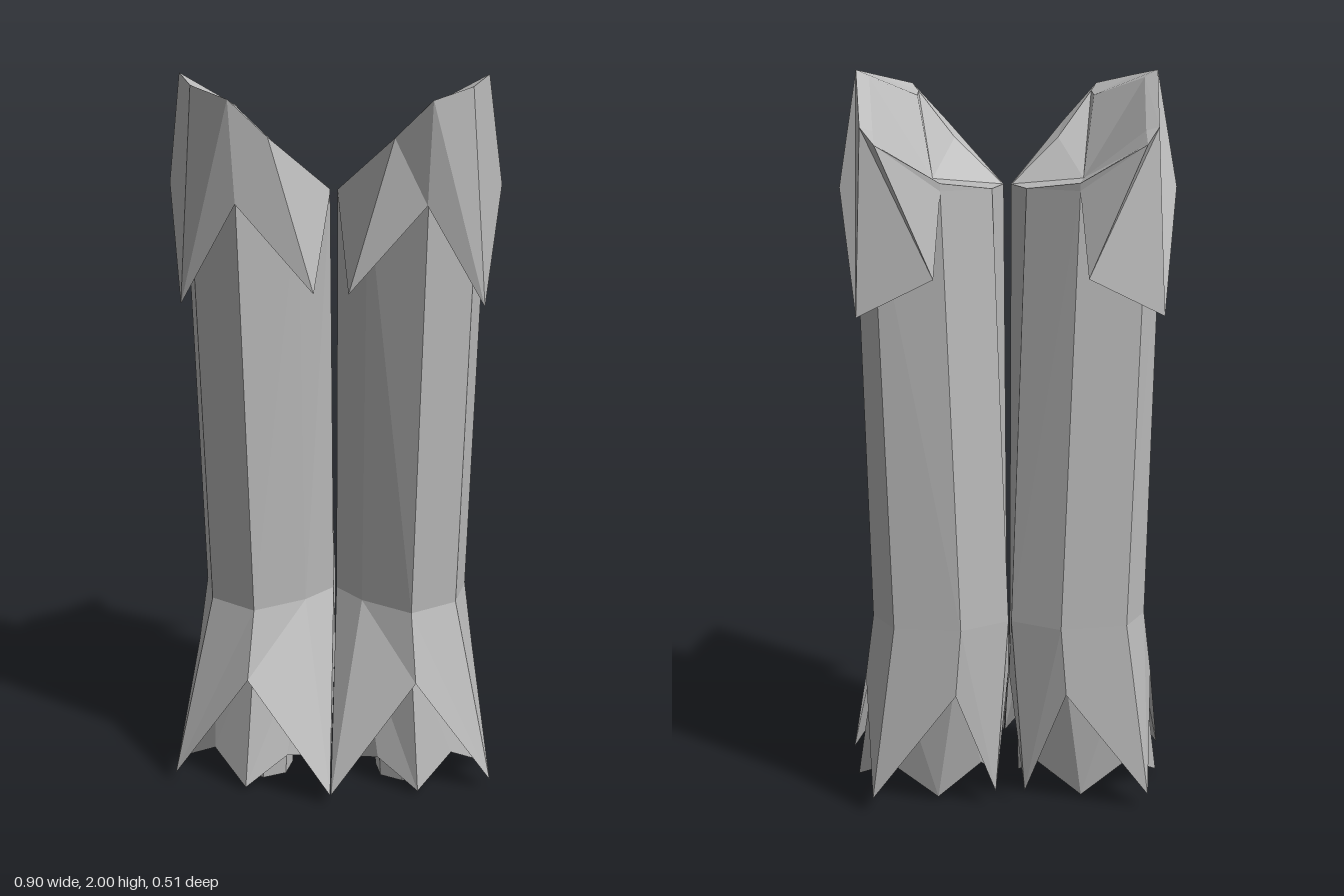
import * as THREE from 'three';

const stone = new THREE.MeshStandardMaterial({ color: 0xbababa, flatShading: true, side: THREE.DoubleSide });
stone.name = 'light grey';

// Closed band of quads between two rings of [x, y, z] points; sign -1 mirrors it in x.
function band(name, upper, lower, sign) {
  const pos = [];
  const tri = (...p) => {
    if (sign < 0) p.reverse();
    p.forEach(([x, y, z]) => pos.push(x * sign, y, z));
  };
  upper.forEach((a, i) => {
    const j = (i + 1) % upper.length;
    tri(a, lower[i], lower[j]);
    tri(a, lower[j], upper[j]);
  });
  const geo = new THREE.BufferGeometry();
  geo.setAttribute('position', new THREE.Float32BufferAttribute(pos, 3));
  geo.computeVertexNormals();
  const mesh = new THREE.Mesh(geo, stone);
  mesh.name = name;
  return mesh;
}

// All rings run front, outer front, outer, outer back, back, inner back, inner, inner front.
const ring = (y, xz) => xz.map(([x, z]) => [x, y, z]);
const shaftTop = ring(1.7, [[0.248, 0.153], [0.375, 0.066], [0.405, -0.075], [0.355, -0.182],
  [0.18, -0.2], [0.045, -0.12], [0.01, 0.02], [0.09, 0.075]]);
const shaftLow = ring(0.53, [[0.22, 0.115], [0.345, 0.03], [0.375, -0.11], [0.315, -0.225],
  [0.135, -0.252], [0.004, -0.175], [0.004, -0.06], [0.08, 0.03]]);

// Flared lower cuff: notches and long points alternate.
const cuffHem = [[0.235, 0.345, 0.18], [0.45, 0.03, 0.145], [0.4, 0.345, -0.08], [0.38, 0.04, -0.235],
  [0.15, 0.345, -0.257], [0.04, 0.04, -0.2], [0.001, 0.345, -0.08], [0.001, 0.03, 0.255]];

// Shorter inner fringe, its points showing through the cuff notches.
const fringeTop = ring(0.42, [[0.22, 0.12], [0.34, 0.03], [0.37, -0.1], [0.315, -0.205],
  [0.145, -0.235], [0.03, -0.16], [0.02, -0.06], [0.08, 0.03]]);
const fringeHem = [[0.245, 0.01, 0.185], [0.34, 0.09, 0.1], [0.43, 0.01, 0.0], [0.33, 0.1, -0.14],
  [0.2, 0.01, -0.165], [0.08, 0.1, -0.14], [0.03, 0.015, 0.0], [0.13, 0.08, 0.12]];
const fringeInside = fringeHem.map(([x, , z]) => [0.2 + (x - 0.2) * 0.45, 0.14, 0.01 + z * 0.45]);

// Collar: slanted rim, ragged hem, broad lip and shallow bowl.
const rim = [[0.01, 1.7, 0.02], [0.16, 1.86, 0.185], [0.255, 1.96, 0.235], [0.355, 1.985, 0.16],
  [0.4, 2.0, 0.02], [0.385, 1.86, -0.165], [0.345, 1.82, -0.255], [0.18, 1.72, -0.2], [0.045, 1.7, -0.12]];
const collarHem = [[0.01, 1.69, 0.02], [0.045, 1.46, 0.2], [0.245, 1.69, 0.19], [0.4, 1.41, 0.115],
  [0.445, 1.7, -0.07], [0.4, 1.38, -0.235], [0.2, 1.48, -0.255], [0.18, 1.7, -0.2], [0.045, 1.69, -0.12]];
const collarInside = [[0.01, 1.7, 0.02], [0.088, 1.55, 0.07], [0.248, 1.72, 0.15], [0.37, 1.56, 0.06],
  [0.405, 1.72, -0.075], [0.352, 1.55, -0.185], [0.2, 1.62, -0.2], [0.18, 1.7, -0.2], [0.045, 1.7, -0.12]];
const lip = [[0.012, 1.7, 0.02], [0.14, 1.82, 0.085], [0.238, 1.94, 0.2], [0.24, 1.93, 0.13],
  [0.365, 1.98, 0.02], [0.352, 1.85, -0.15], [0.328, 1.81, -0.225], [0.18, 1.72, -0.197], [0.047, 1.7, -0.118]];
const bowlCentre = lip.map(() => [0.2, 1.72, -0.04]);

function makeLeg(sign) {
  const leg = new THREE.Group();
  leg.name = sign > 0 ? 'leftColumn' : 'rightColumn';
  leg.add(
    band('shaft', shaftTop, shaftLow, sign),
    band('lowerCuff', shaftLow, cuffHem, sign),
    band('fringe', fringeTop, fringeHem, sign),
    band('fringeUnderside', fringeHem, fringeInside, sign),
    band('collar', rim, collarHem, sign),
    band('collarUnderside', collarHem, collarInside, sign),
    band('collarLip', lip, rim, sign),
    band('bowl', bowlCentre, lip, sign)
  );
  // Stump at the centre of the base
  const stump = new THREE.Mesh(new THREE.CylinderGeometry(0.09, 0.08, 0.18, 7), stone);
  stump.name = 'stump';
  stump.position.set(0.2 * sign, 0.09, 0.03);
  leg.add(stump);
  return leg;
}

export function createModel() {
  const model = new THREE.Group();
  model.name = 'pairedColumns';
  model.add(makeLeg(1), makeLeg(-1));
  return model;
}
